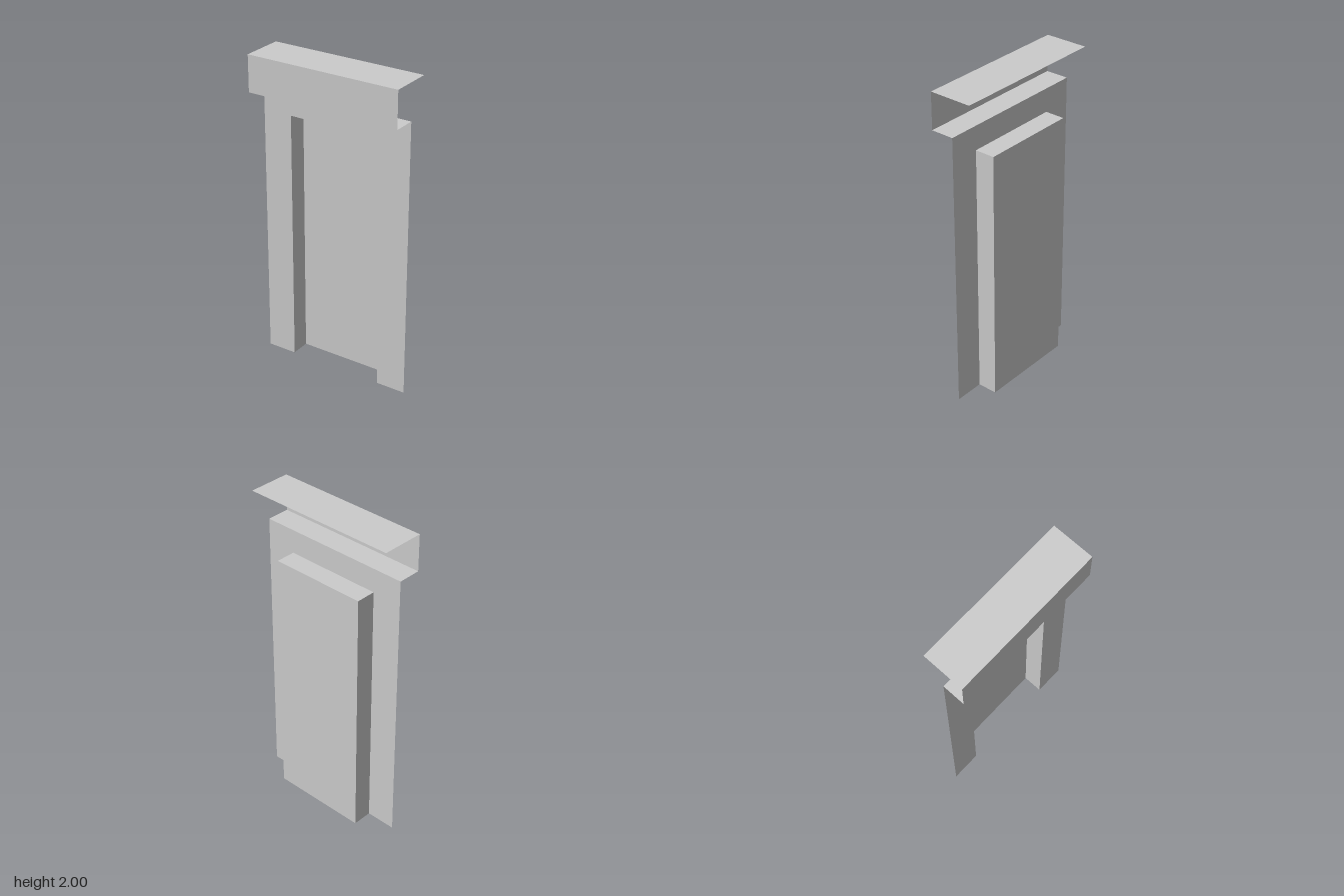
import * as THREE from 'three';

const W = 1, TOP = 2, LEDGE = 1.77;             // overall width, roof and soffit heights
const DOOR_W = 0.62, DOOR_H = 1.62;             // door recess
const FRONT = 0.135, WALL = -0.01, BACK = -0.135; // depths

const material = new THREE.MeshStandardMaterial({
  color: 0xcccccc, flatShading: true, side: THREE.DoubleSide,
});

function addSheet(parent, name, geometry) {
  const mesh = new THREE.Mesh(geometry, material);
  mesh.name = name;
  parent.add(mesh);
  return mesh;
}

// Thin panel facing +z, centred at x, y, z
function panel(parent, name, w, h, x, y, z) {
  const mesh = addSheet(parent, name, new THREE.PlaneGeometry(w, h));
  mesh.position.set(x, y, z);
  return mesh;
}

export function createModel() {
  const model = new THREE.Group();
  model.name = 'doorway';

  // Wall with an opening that reaches the ground
  const a = W / 2, d = DOOR_W / 2;
  const outline = [[-a, 0], [-d, 0], [-d, DOOR_H], [d, DOOR_H], [d, 0], [a, 0], [a, LEDGE], [-a, LEDGE]];
  const wall = new THREE.Shape(outline.map(([x, y]) => new THREE.Vector2(x, y)));
  addSheet(model, 'wall', new THREE.ShapeGeometry(wall)).position.z = WALL;

  // Recessed door with jambs and head, open at the floor
  const recess = new THREE.Group();
  recess.name = 'doorRecess';
  model.add(recess);
  const depth = WALL - BACK, midZ = (WALL + BACK) / 2;
  panel(recess, 'door', DOOR_W, DOOR_H, 0, DOOR_H / 2, BACK);
  for (const [name, side] of [['leftJamb', 1], ['rightJamb', -1]]) {
    panel(recess, name, depth, DOOR_H, side * d, DOOR_H / 2, midZ).rotation.y = -side * Math.PI / 2;
  }
  panel(recess, 'doorHead', DOOR_W, depth, 0, DOOR_H, midZ).rotation.x = Math.PI / 2;

  // Overhanging canopy: soffit, fascia and roof, open at the ends and back
  const canopy = new THREE.Group();
  canopy.name = 'canopy';
  model.add(canopy);
  panel(canopy, 'soffit', W, FRONT - WALL, 0, LEDGE, (FRONT + WALL) / 2).rotation.x = Math.PI / 2;
  panel(canopy, 'fascia', W, TOP - LEDGE, 0, (TOP + LEDGE) / 2, FRONT);
  panel(canopy, 'roof', W, FRONT - BACK, 0, TOP, 0).rotation.x = -Math.PI / 2;

  return model;
}
